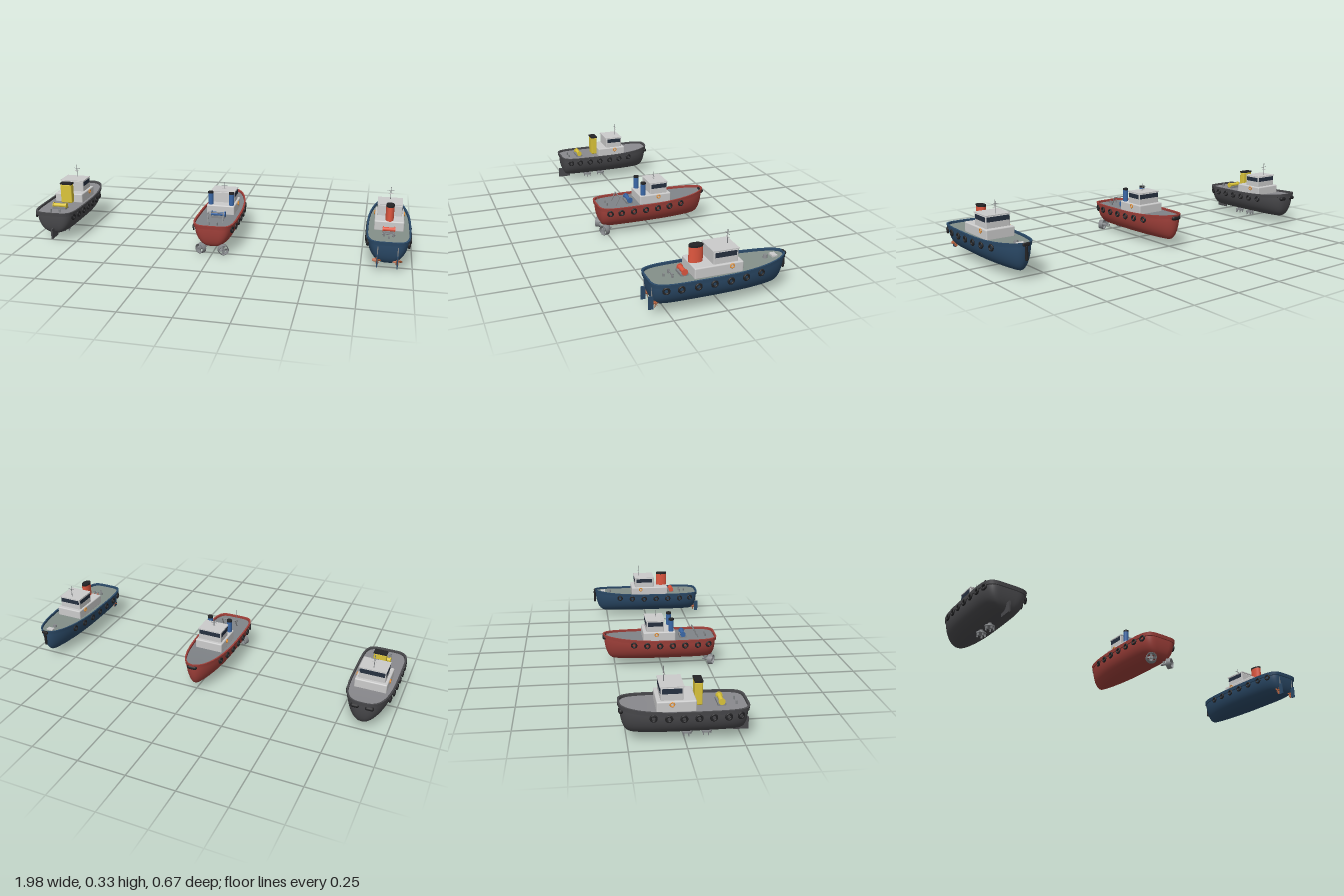
import * as THREE from 'three';
import { toCreasedNormals } from 'three/addons/utils/BufferGeometryUtils.js';
import { RoundedBoxGeometry } from 'three/addons/geometries/RoundedBoxGeometry.js';

const mat = (color) => new THREE.MeshStandardMaterial({ color });
const GREY = mat(0xcccccc), BLACK = mat(0x232325), GLASS = mat(0x263040), STEEL = mat(0x85888b);
const ORANGE = mat(0xe0573f), YELLOW = mat(0xdcc53a), BLUE = mat(0x3a68a8), BRONZE = mat(0xb5603a), BUOY = mat(0xe8953a);
const DECK_Y = 0.153, N = 64;

function add(parent, name, geo, material, x = 0, y = 0, z = 0) {
  const m = new THREE.Mesh(geo, material);
  m.name = name;
  m.position.set(x, y, z);
  parent.add(m);
  return m;
}
const box = (w, h, d) => new THREE.BoxGeometry(w, h, d);
const cyl = (r, h, n = 16, r2 = r) => new THREE.CylinderGeometry(r, r2, h, n);

// Skin over a list of closed rings, each running counter-clockwise seen from above
function loft(rings) {
  const pos = rings.flat(2), idx = [];
  for (let j = 0; j < rings.length - 1; j++) {
    for (let i = 0; i < N; i++) {
      const k = (i + 1) % N, a = j * N + i, b = j * N + k;
      idx.push(a, a + N, b + N, a, b + N, b);
    }
  }
  const g = new THREE.BufferGeometry();
  g.setAttribute('position', new THREE.Float32BufferAttribute(pos, 3));
  g.setIndex(idx);
  g.computeVertexNormals();
  return g;
}

// Hull, deck and bulwark from one superellipse plan with separate bow and stern fullness
function hullParts(boat, s) {
  const mid = 0.05, pow = (v, p) => Math.sign(v) * Math.abs(v) ** p;
  const sheer = (z) => 0.018 * Math.max(0, (mid - z) / (mid - s.bow)) ** 2.5;
  const ring = (y, sx, sz, out = 0, rise = 1) => Array.from({ length: N }, (_, i) => {
    const a = (i / N) * Math.PI * 2, c = Math.cos(a), aft = c > 0, p = 2 / (aft ? 5 : s.full);
    const z = mid + pow(c, p) * ((aft ? s.stern - mid : mid - s.bow) * sz + out);
    return [pow(Math.sin(a), p) * (s.w * sx + out), y + rise * sheer(z), z];
  });
  const hull = [];
  for (let j = 0; j <= 14; j++) {
    const f = (j / 14) * Math.PI / 2, c = Math.max(0, Math.cos(f));
    hull.push(ring(DECK_Y - (DECK_Y - 0.043) * Math.sin(f), c ** 0.75, 0.75 + 0.25 * Math.sqrt(c), 0, c ** 2));
  }
  add(boat, 'hull', loft(hull), s.paint);
  add(boat, 'deck', loft([ring(DECK_Y + 0.002, 0, 0.9), ring(DECK_Y + 0.002, 1, 1)]), s.deck);
  const wall = loft([ring(0.15, 1, 1, -0.003), ring(0.166, 1, 1, -0.002),
    ring(0.166, 1, 1, 0.007), ring(0.148, 1, 1, 0.005), ring(0.147, 1, 1, -0.001)]);
  add(boat, 'bulwark', toCreasedNormals(wall, 0.7), s.paint);

  // Tyres hang square to the plan curve
  const half = (z) => {
    const t = z > mid ? (z - mid) / (s.stern - mid) : (mid - z) / (mid - s.bow);
    const p = z > mid ? 5 : s.full;
    return s.w * Math.max(0, 1 - t ** p) ** (1 / p);
  };
  const tyre = new THREE.TorusGeometry(0.0125, 0.0048, 8, 20);
  for (const z0 of [0.278, 0.212, 0.135, 0.06, -0.017, -0.093, -0.171]) {
    const z = z0 * s.stern / 0.328;
    const slope = (half(z + 0.004) - half(z - 0.004)) / 0.008;
    for (const side of [-1, 1]) {
      const m = add(boat, 'tyreFender', tyre, BLACK, side * (half(z) + 0.006), 0.138 + sheer(z), z);
      m.rotation.y = Math.atan2(side, -slope);
    }
  }
}

// Deckhouse, wheelhouse with windows, roof, mast and lifebuoys
function house(boat, s) {
  const [a0, a1, aw] = s.lower, [b0, b1, bw] = s.upper;
  const zb = (b0 + b1) / 2, lb = b1 - b0;
  add(boat, 'deckhouse', new RoundedBoxGeometry(aw * 2, 0.052, a1 - a0, 2, 0.006), GREY, 0, 0.178, (a0 + a1) / 2);
  add(boat, 'wheelhouse', new RoundedBoxGeometry(bw * 2, 0.062, lb, 2, 0.005), GREY, 0, 0.23, zb);
  for (const side of [-1, 1]) {
    add(boat, 'sideWindow', box(0.003, 0.023, lb * 0.86), GLASS, side * bw, 0.245, zb);
    const ring = add(boat, 'lifebuoy', new THREE.TorusGeometry(0.009, 0.003, 8, 20), BUOY, side * (aw + 0.002), 0.191, s.buoy);
    ring.rotation.y = Math.PI / 2;
  }
  add(boat, 'frontWindow', box(bw * 1.86, 0.023, 0.003), GLASS, 0, 0.245, b0);
  add(boat, 'roof', box(bw * 2.04, 0.005, lb + 0.006), GREY, 0, 0.263, zb);
  const [mz, top] = s.mast;
  add(boat, 'mast', cyl(0.0018, top - 0.262, 8), STEEL, 0, (top + 0.262) / 2, mz);
  add(boat, 'mastCrossbar', box(0.036, 0.002, 0.002), STEEL, 0, top - 0.02, mz);
  add(boat, 'radar', box(0.024, 0.003, 0.004), GREY, 0, top - 0.035, mz);
}

// Towing winch: drum across the deck between two flanges
function winch(boat, material, z, half) {
  const r = 0.013, y = DECK_Y + 0.02;
  const drum = add(boat, 'winchDrum', cyl(r * 0.8, half * 2, 20), material, 0, y, z);
  drum.rotation.z = Math.PI / 2;
  for (const side of [-1, 1]) {
    const f = add(boat, 'winchFlange', cyl(r * 1.15, 0.005, 20), material, side * half, y, z);
    f.rotation.z = Math.PI / 2;
  }
  add(boat, 'winchBase', box(half * 2.1, 0.012, 0.036), STEEL, 0, DECK_Y + 0.007, z);
}

function bitts(boat, z, half, h) {
  for (const side of [-1, 1]) add(boat, 'bittPost', cyl(0.005, h, 12), STEEL, side * half, DECK_Y + h / 2, z);
}

function startBoat(name, x, s) {
  const boat = new THREE.Group();
  boat.name = name;
  boat.position.x = x;
  hullParts(boat, s);
  house(boat, s);
  return boat;
}

// Four-bladed screw facing z
function screw(parent, r, material, x, y, z) {
  const g = new THREE.Group();
  g.name = 'propeller';
  g.position.set(x, y, z);
  const hub = add(g, 'hub', cyl(r * 0.22, 0.014, 12), material);
  hub.rotation.x = Math.PI / 2;
  for (let i = 0; i < 4; i++) {
    const arm = new THREE.Group();
    arm.rotation.z = i * Math.PI / 2;
    const blade = add(arm, 'blade', new THREE.SphereGeometry(r * 0.5, 12, 8), material, 0, r * 0.52, 0);
    blade.scale.set(0.7, 1, 0.13);
    blade.rotation.y = 0.5;
    g.add(arm);
  }
  parent.add(g);
}

function greyTug() {
  const b = startBoat('greyTug', -0.873, { bow: -0.28, stern: 0.272, w: 0.108, full: 3, paint: mat(0x4a4a4d), deck: mat(0x8a8a8e),
    lower: [-0.126, 0.045, 0.08], upper: [-0.108, -0.01, 0.066], buoy: -0.06, mast: [-0.088, 0.335] });
  add(b, 'funnel', new RoundedBoxGeometry(0.064, 0.105, 0.034, 2, 0.005), YELLOW, 0, 0.212, 0.06);
  add(b, 'funnelCap', box(0.066, 0.009, 0.036), BLACK, 0, 0.268, 0.06);
  winch(b, YELLOW, 0.16, 0.036);
  bitts(b, 0.225, 0.025, 0.018);
  for (const x of [-0.035, 0.035]) {
    add(b, 'bowFender', new THREE.CapsuleGeometry(0.011, 0.022, 4, 12), BLACK, x, 0.155, -0.274).rotation.z = Math.PI / 2;
  }
  // Cycloidal drives under the keel and a stern fin
  for (const z of [0.102, 0.015]) {
    add(b, 'driveStem', cyl(0.009, 0.03, 14), STEEL, 0, 0.038, z);
    add(b, 'driveDisc', cyl(0.024, 0.006, 24), STEEL, 0, 0.026, z);
    for (let i = 0; i < 5; i++) {
      const a = i * Math.PI * 0.4;
      add(b, 'driveBlade', box(0.007, 0.018, 0.004), STEEL, 0.019 * Math.sin(a), 0.018, z + 0.019 * Math.cos(a));
    }
  }
  add(b, 'sternFin', box(0.008, 0.055, 0.07), b.getObjectByName('hull').material, 0, 0.051, 0.253);
  return b;
}

function redTug() {
  const b = startBoat('redTug', 0, { bow: -0.305, stern: 0.29, w: 0.104, full: 2.1, paint: mat(0xa0403a), deck: mat(0x808488),
    lower: [-0.1, 0.072, 0.075], upper: [-0.082, 0.012, 0.064], buoy: -0.03, mast: [-0.028, 0.305] });
  for (const x of [-0.056, 0.056]) {
    add(b, 'funnel', cyl(0.0135, 0.085, 20), BLUE, x, 0.228, 0.05);
    add(b, 'funnelCap', cyl(0.0142, 0.009, 20), BLACK, x, 0.269, 0.05);
  }
  winch(b, BLUE, 0.117, 0.035);
  // Leaning towing frame
  const frame = new THREE.Group();
  frame.name = 'towingFrame';
  frame.position.set(0, DECK_Y, 0.2);
  frame.rotation.x = -0.5;
  for (const x of [-0.04, 0.04]) add(frame, 'framePost', cyl(0.003, 0.055, 10), STEEL, x, 0.027, 0);
  add(frame, 'frameBar', cyl(0.003, 0.086, 10), STEEL, 0, 0.053, 0).rotation.z = Math.PI / 2;
  b.add(frame);
  bitts(b, 0.24, 0.02, 0.016);
  const nose = add(b, 'bowFender', new THREE.CapsuleGeometry(0.012, 0.03, 4, 14), BLACK, 0, 0.166, -0.302);
  nose.rotation.z = Math.PI / 2;
  // Steerable stern thrusters in nozzles
  for (const side of [-1, 1]) {
    const pod = new THREE.Group();
    pod.name = 'sternThruster';
    pod.position.set(side * 0.05, 0.034, 0.25);
    pod.rotation.y = side * 0.5;
    add(pod, 'thrusterLeg', cyl(0.007, 0.06, 12), STEEL, 0, 0.03, -0.012);
    add(pod, 'thrusterPod', cyl(0.008, 0.055, 14, 0.005), STEEL).rotation.x = Math.PI / 2;
    const profile = [[0.024, -0.012], [0.028, -0.012], [0.026, 0.012], [0.023, 0.012], [0.024, -0.012]];
    const nozzle = new THREE.LatheGeometry(profile.map((p) => new THREE.Vector2(...p)), 28);
    add(pod, 'nozzle', nozzle, new THREE.MeshStandardMaterial({ color: 0x85888b, side: THREE.DoubleSide }), 0, 0, 0.02).rotation.x = Math.PI / 2;
    screw(pod, 0.022, STEEL, 0, 0, 0.02);
    b.add(pod);
  }
  add(b, 'sternStaff', cyl(0.0008, 0.05, 6), STEEL, 0, 0.18, 0.284);
  return b;
}

function blueTug() {
  const paint = mat(0x2b4a68);
  const b = startBoat('blueTug', 0.877, { bow: -0.322, stern: 0.326, w: 0.103, full: 2.1, paint, deck: mat(0x84908a),
    lower: [-0.092, 0.137, 0.073], upper: [-0.07, 0.047, 0.062], buoy: -0.036, mast: [-0.045, 0.33] });
  // Oval funnel
  for (const [name, r, h, y, m] of [['funnel', 0.033, 0.072, 0.239, ORANGE], ['funnelCap', 0.0335, 0.009, 0.279, BLACK]]) {
    add(b, name, cyl(r, h, 32), m, 0, y, 0.104).scale.x = 0.62;
  }
  winch(b, ORANGE, 0.165, 0.028);
  bitts(b, 0.22, 0.022, 0.02);
  add(b, 'bittBar', cyl(0.003, 0.066, 10), STEEL, 0, DECK_Y + 0.014, 0.22).rotation.z = Math.PI / 2;
  add(b, 'sternPost', cyl(0.004, 0.014, 12), STEEL, 0, 0.161, 0.25);
  add(b, 'bowHatch', box(0.036, 0.01, 0.026), GREY, 0, 0.17, -0.275);
  add(b, 'capstan', cyl(0.009, 0.016, 16, 0.012), STEEL, 0, 0.17, -0.235);
  add(b, 'bowFender', new THREE.CapsuleGeometry(0.007, 0.06, 4, 12), BLACK, 0, 0.138, -0.328);
  add(b, 'bowPad', new RoundedBoxGeometry(0.034, 0.016, 0.014, 2, 0.005), BLACK, 0, 0.177, -0.327);
  // Twin shafts, screws and rudders
  for (const x of [-0.048, 0.048]) {
    add(b, 'shaft', cyl(0.004, 0.09, 10), BRONZE, x, 0.063, 0.265).rotation.x = Math.PI / 2;
    screw(b, 0.024, BRONZE, x, 0.063, 0.307);
    add(b, 'rudder', box(0.006, 0.062, 0.022), paint, x, 0.066, 0.326);
    add(b, 'rudderStock', cyl(0.003, 0.05, 8), STEEL, x, 0.115, 0.322);
  }
  return b;
}

export function createModel() {
  const fleet = new THREE.Group();
  fleet.name = 'tugboats';
  fleet.add(greyTug(), redTug(), blueTug());
  return fleet;
}
